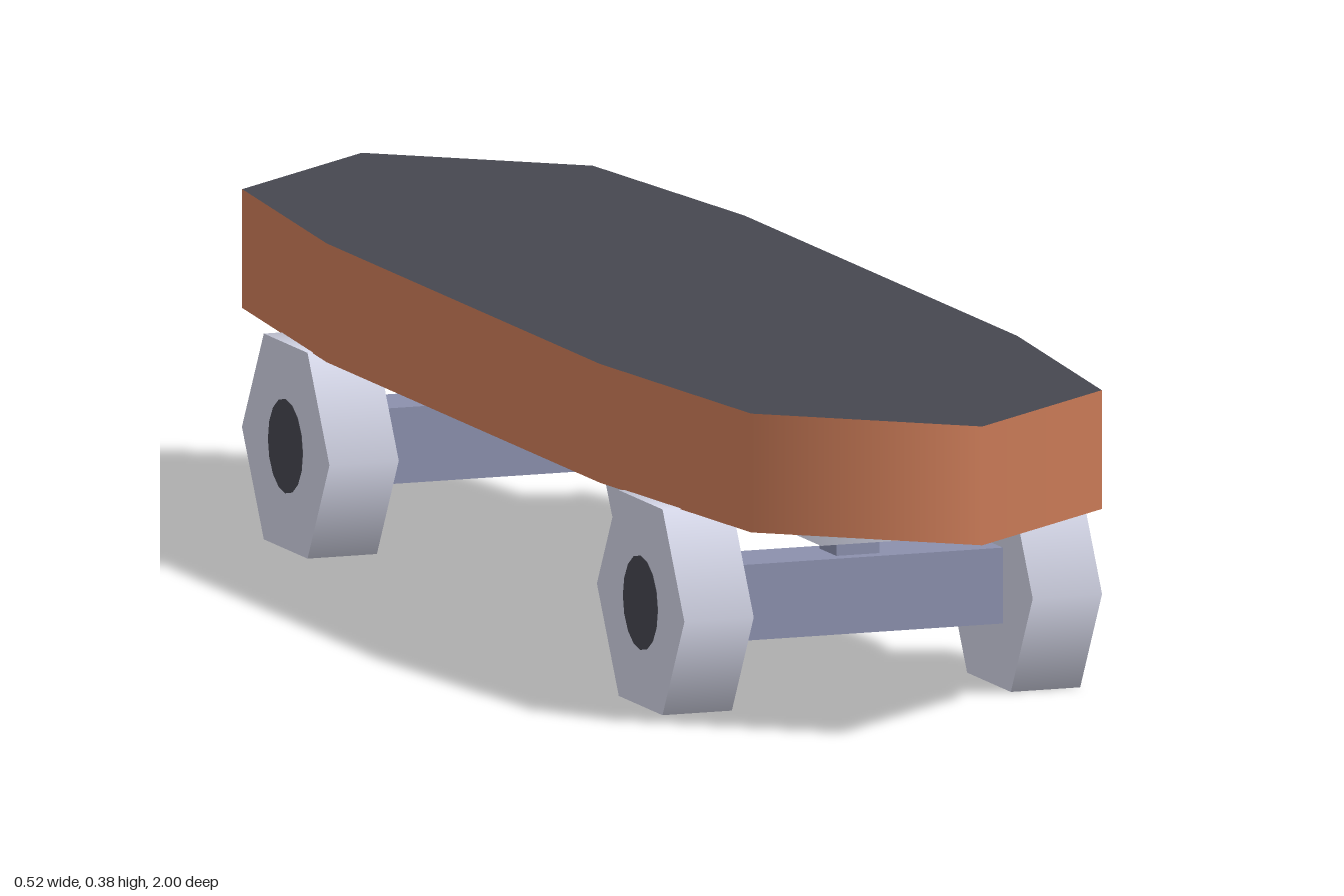
import * as THREE from 'three';

const mat = (name, color) => Object.assign(new THREE.MeshStandardMaterial({ color }), { name });

// Vertical wall along a closed outline of [x, z] points, normals averaged at each corner
function wallGeometry(outline, y0, y1) {
  const pos = [], nor = [], idx = [], n = outline.length;
  const edgeNormal = (i) => {
    const [ax, az] = outline[(i + n) % n], [bx, bz] = outline[(i + 1) % n];
    return new THREE.Vector3(az - bz, 0, bx - ax).normalize();
  };
  outline.forEach(([x, z], i) => {
    const v = edgeNormal(i).add(edgeNormal(i - 1)).normalize();
    pos.push(x, y0, z, x, y1, z);
    nor.push(v.x, 0, v.z, v.x, 0, v.z);
    const a = 2 * i, b = 2 * ((i + 1) % n);
    idx.push(a, b, b + 1, a, b + 1, a + 1);
  });
  const g = new THREE.BufferGeometry();
  g.setAttribute('position', new THREE.Float32BufferAttribute(pos, 3));
  g.setAttribute('normal', new THREE.Float32BufferAttribute(nor, 3));
  g.setIndex(idx);
  return g;
}

// Flat cap filling the same outline, facing up or down
function capGeometry(outline, y, up) {
  const s = up ? -1 : 1;
  const shape = new THREE.Shape(outline.map(([x, z]) => new THREE.Vector2(x, s * z)));
  return new THREE.ShapeGeometry(shape).rotateX(s * Math.PI / 2).translate(0, y, 0);
}

export function createModel() {
  const wood = mat('wood', 0xce7d59);
  const grip = mat('dark grip', 0x464750);
  const red = mat('dark red underside', 0xc6363f);
  const pale = mat('pale grey', 0xd3d5e6);
  const steel = mat('blue grey metal', 0x8b90ad);

  const model = new THREE.Group();
  model.name = 'skateboard';
  const add = (parent, name, geometry, material, x = 0, y = 0, z = 0) => {
    const mesh = new THREE.Mesh(geometry, material);
    mesh.name = name;
    mesh.position.set(x, y, z);
    parent.add(mesh);
  };

  // Deck: ten-sided board
  const deck = [
    [0, 1], [0.22, 0.82], [0.262, 0.44], [0.262, -0.44], [0.22, -0.82],
    [0, -1], [-0.22, -0.82], [-0.262, -0.44], [-0.262, 0.44], [-0.22, 0.82],
  ];
  // Edge runs from the right-hand side at the front round to the back
  add(model, 'deckEdge', wallGeometry(deck, 0.243, 0.384), wood);
  add(model, 'deckTop', capGeometry(deck, 0.384, true), grip);
  add(model, 'deckUnderside', capGeometry(deck, 0.243, false), red);

  // Trucks: base plate, post, axle and two wheels each
  const plate = [[-0.098, 0.16], [0.098, 0.16], [0.098, -0.16], [-0.098, -0.16]];
  const wheelGeometry = new THREE.CylinderGeometry(0.141, 0.141, 0.087, 6).rotateZ(Math.PI / 2);
  const hubGeometry = new THREE.CylinderGeometry(0.056, 0.056, 0.004, 16).rotateZ(Math.PI / 2);
  for (const [name, z] of [['frontTruck', 0.572], ['backTruck', -0.572]]) {
    const truck = new THREE.Group();
    truck.name = name;
    truck.position.z = z;
    model.add(truck);
    add(truck, 'basePlateEdge', wallGeometry(plate, 0.205, 0.243), pale);
    add(truck, 'basePlateUnderside', capGeometry(plate, 0.205, false), pale);
    add(truck, 'post', new THREE.BoxGeometry(0.054, 0.022, 0.054), pale, 0, 0.194, 0);
    add(truck, 'postBase', new THREE.BoxGeometry(0.054, 0.019, 0.054), steel, 0, 0.1735, 0);
    add(truck, 'axle', new THREE.BoxGeometry(0.36, 0.09, 0.09), steel, 0, 0.122, 0);
    for (const side of [1, -1]) {
      add(truck, 'wheel', wheelGeometry, pale, side * 0.2185, 0.122, 0);
      add(truck, 'hub', hubGeometry, grip, side * 0.2605, 0.122, 0);
    }
  }
  return model;
}
